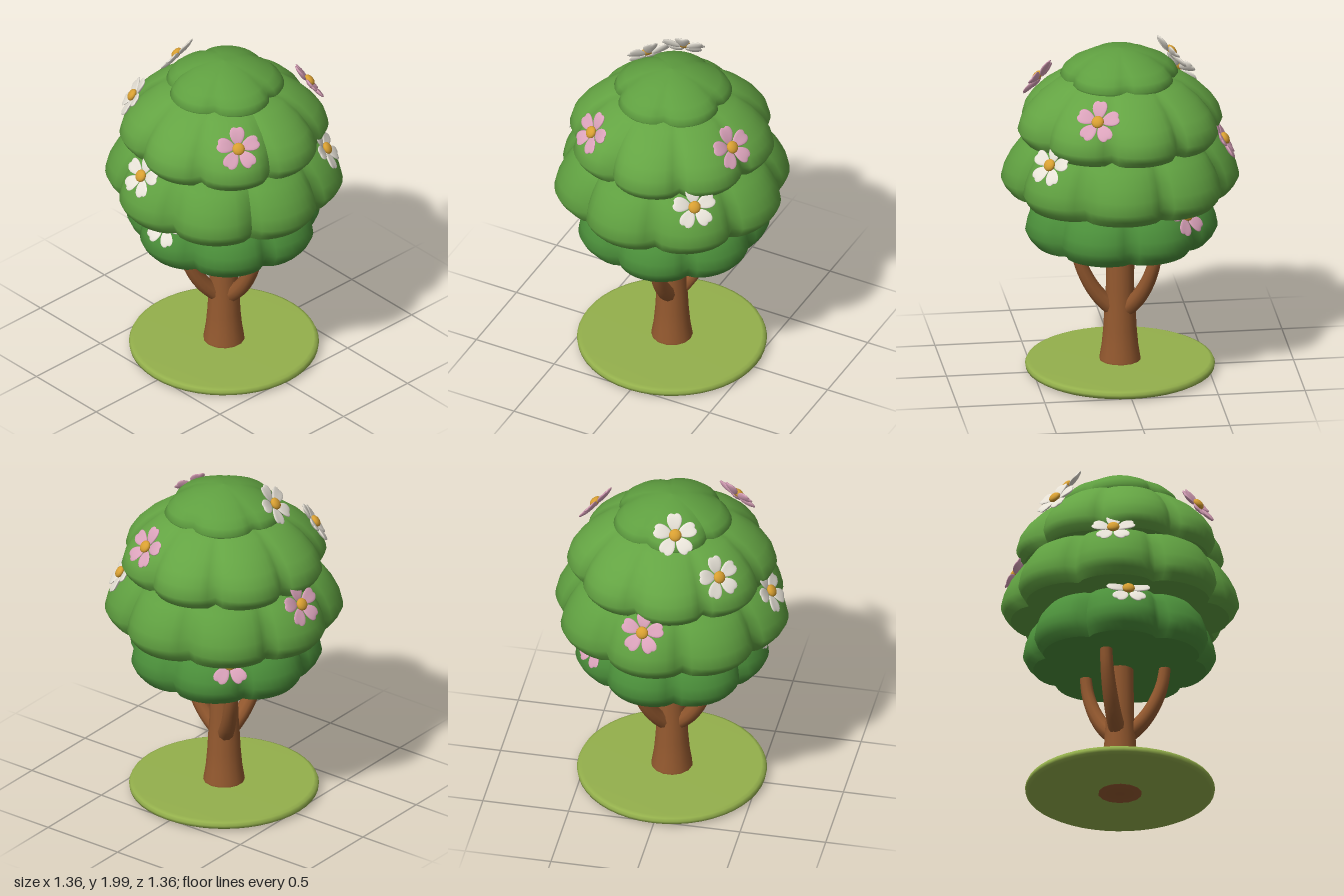
import * as THREE from 'three';

const mat = (color, side = THREE.FrontSide) => new THREE.MeshStandardMaterial({ color, side, roughness: 0.9 });
const add = (parent, name, geometry, material) => {
  const m = new THREE.Mesh(geometry, material);
  m.name = name;
  parent.add(m);
  return m;
};
const lathe = (pts, seg, start = 0) =>
  new THREE.LatheGeometry(pts.map(([r, y]) => new THREE.Vector2(r, y)), seg, start);

// Lathed leaf layer whose radius is scalloped into lobes; notches fade toward the crown
function leafLayer(profile, lobes, lobeAngle, depth) {
  const R = Math.max(...profile.map(p => p[0]));
  const notch = lobeAngle + Math.PI / lobes;
  const g = lathe(profile, lobes * 10, Math.PI / 2 - notch);
  const p = g.attributes.position;
  for (let i = 0; i < p.count; i++) {
    const x = p.getX(i), z = p.getZ(i);
    const r = Math.hypot(x, z), a = Math.atan2(z, x);
    const bump = Math.pow(Math.abs(Math.cos((a - lobeAngle) * lobes / 2)), 0.6);
    const s = 1 - depth * Math.pow(r / R, 1.5) * (1 - bump);
    p.setX(i, x * s);
    p.setZ(i, z * s);
  }
  g.computeVertexNormals();
  return g;
}

// Tapered tube along a curve
function taperedTube(pts, r0, r1) {
  const curve = new THREE.CatmullRomCurve3(pts), n = 14, sides = 10;
  const g = new THREE.TubeGeometry(curve, n, 1, sides);
  const p = g.attributes.position, v = new THREE.Vector3();
  for (let i = 0; i < p.count; i++) {
    const t = Math.floor(i / (sides + 1)) / n;
    const c = curve.getPointAt(t);
    v.fromBufferAttribute(p, i).sub(c).multiplyScalar(r0 + (r1 - r0) * t).add(c);
    p.setXYZ(i, v.x, v.y, v.z);
  }
  return g;
}

// Thin petal pointing along +y, wider and slightly notched at the tip, cupped toward +z
function petalGeometry() {
  const g = new THREE.SphereGeometry(1, 14, 10);
  const p = g.attributes.position;
  for (let i = 0; i < p.count; i++) {
    const x = p.getX(i), y = p.getY(i), z = p.getZ(i);
    const dent = Math.max(0, y) * 0.012 * Math.max(0, 1 - Math.abs(x) * 2.5);
    p.setXYZ(i, x * (0.042 + 0.012 * y), 0.076 + y * 0.056 - dent,
      z * 0.011 + 0.008 * x * x + 0.006 * y);
  }
  g.computeVertexNormals();
  return g;
}

export function createModel() {
  const model = new THREE.Group();
  model.name = 'floweringTree';
  const bark = mat(0x94592f, THREE.DoubleSide);

  // Grass disc with a soft rim
  add(model, 'grassDisc', lathe([[0, 0.006], [0.52, 0.006], [0.54, 0.018], [0.543, 0.035],
    [0.535, 0.052], [0.515, 0.06], [0, 0.06]], 48), mat(0x94b04c));

  // Flared trunk
  add(model, 'trunk', lathe([[0, 0], [0.125, 0], [0.118, 0.07], [0.105, 0.15], [0.096, 0.25],
    [0.09, 0.36], [0.082, 0.48], [0.078, 0.775], [0.078, 0.775], [0, 0.778]], 14), bark);

  // Three curved branches around the trunk
  [-5, 110, 223].forEach((deg, i) => {
    const a = THREE.MathUtils.degToRad(deg);
    const pts = [[0.03, 0.36], [0.12, 0.45], [0.19, 0.56], [0.24, 0.69], [0.262, 0.83]]
      .map(([r, y]) => new THREE.Vector3(r * Math.cos(a), y, r * Math.sin(a)));
    add(model, 'branch' + (i + 1), taperedTube(pts, 0.05, 0.034), bark);
  });

  // Stacked leaf layers: profile from the underside centre, over the rim, to the crown
  const D = THREE.MathUtils.degToRad;
  const layers = [
    { name: 'leafLayerBottom', color: 0x4b8f3a, lobes: 7, angle: D(90), depth: 0.14,
      profile: [[0, 0.8], [0.3, 0.8], [0.5, 0.8], [0.5, 0.8], [0.535, 0.84], [0.56, 0.89], [0.548, 0.95],
        [0.52, 1.02], [0.46, 1.09], [0.32, 1.14], [0, 1.17]] },
    { name: 'leafLayerWide', color: 0x5f9f40, lobes: 8, angle: D(5), depth: 0.13,
      profile: [[0, 1.1], [0.35, 1.1], [0.625, 1.095], [0.625, 1.095], [0.66, 1.135], [0.682, 1.18],
        [0.665, 1.25], [0.63, 1.32], [0.57, 1.4], [0.47, 1.46], [0.3, 1.5], [0, 1.52]] },
    { name: 'leafLayerUpper', color: 0x64a443, lobes: 8, angle: D(-9.5), depth: 0.13,
      profile: [[0, 1.43], [0.3, 1.43], [0.55, 1.425], [0.55, 1.425], [0.58, 1.46], [0.6, 1.5],
        [0.58, 1.57], [0.54, 1.63], [0.47, 1.7], [0.37, 1.77], [0.22, 1.82], [0, 1.84]] },
    { name: 'leafCrown', color: 0x5f9f40, lobes: 5, angle: D(90), depth: 0.15,
      profile: [[0, 1.77], [0.2, 1.77], [0.325, 1.77], [0.325, 1.77], [0.345, 1.795], [0.325, 1.835],
        [0.28, 1.875], [0.18, 1.925], [0.09, 1.95], [0, 1.958]] },
  ];
  for (const l of layers)
    add(model, l.name, leafLayer(l.profile, l.lobes, l.angle, l.depth), mat(l.color));

  // Five-petalled flowers: position, facing direction, colour
  const white = mat(0xe8e3d8), pink = mat(0xdba3bb), yellow = mat(0xd9a032);
  const petal = petalGeometry();
  const heart = new THREE.SphereGeometry(0.036, 14, 10).scale(1, 1, 0.6);
  const flowers = [
    [[-0.3, 1.89, 0.08], [-0.75, 0.6, 0.22], white],
    [[-0.38, 1.69, 0.35], [-0.6, 0.55, 0.6], white],
    [[-0.06, 1.4, 0.585], [-0.08, 0.55, 0.85], white],
    [[0.03, 1.06, 0.49], [0.05, 0.5, 0.86], white],
    [[0.43, 1.69, 0.29], [0.68, 0.55, 0.46], pink],
    [[0.19, 1.69, -0.48], [0.3, 0.6, -0.75], pink],
    [[0.45, 1.4, -0.375], [0.66, 0.55, -0.55], white],
    [[-0.59, 1.39, -0.05], [-0.88, 0.5, -0.08], pink],
    [[-0.33, 1.06, -0.38], [-0.62, 0.5, -0.68], pink],
  ];
  flowers.forEach(([pos, dir, color], i) => {
    const flower = new THREE.Group();
    flower.name = 'flower' + (i + 1);
    for (let k = 0; k < 5; k++)
      add(flower, 'petal', petal, color).rotation.z = k * Math.PI * 2 / 5;
    add(flower, 'flowerCentre', heart, yellow).position.z = 0.012;
    flower.position.set(...pos);
    flower.lookAt(pos[0] + dir[0], pos[1] + dir[1], pos[2] + dir[2]);
    model.add(flower);
  });
  return model;
}
